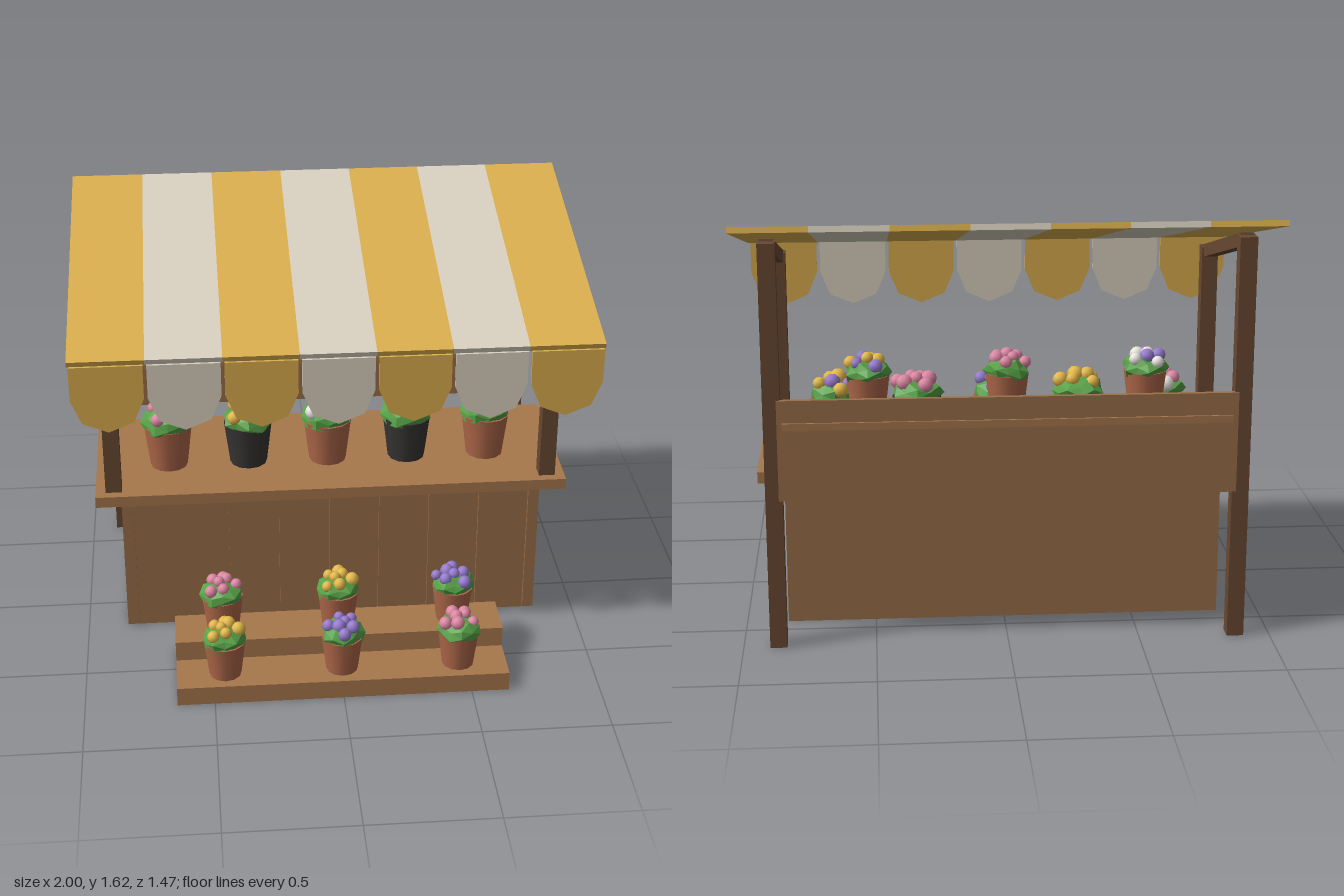
import * as THREE from 'three';

const mat = (color, flat = false) => new THREE.MeshStandardMaterial({ color, flatShading: flat });

export function createModel() {
  const root = new THREE.Group();
  const wood = mat(0xa8784c), panel = mat(0x9a6f48), dark = mat(0x684832);
  const gold = mat(0xdcb04e), cream = mat(0xdad2c1);
  const terracotta = mat(0xb0684a), black = mat(0x383634), leaf = mat(0x56a046, true);
  const bloom = {
    pink: mat(0xdc86a2), purple: mat(0x9579cc), yellow: mat(0xe2b848), white: mat(0xe8e4de),
  };
  let seed = 11;
  const rand = () => (seed = (seed * 16807) % 2147483647) / 2147483647;

  const add = (name, geo, material, parent = root) => {
    const m = new THREE.Mesh(geo, material);
    m.name = name;
    parent.add(m);
    return m;
  };
  // box given by its limits on each axis
  const box = (name, material, x0, x1, y0, y1, z0, z1) => {
    const m = add(name, new THREE.BoxGeometry(x1 - x0, y1 - y0, z1 - z0), material);
    m.position.set((x0 + x1) / 2, (y0 + y1) / 2, (z0 + z1) / 2);
    return m;
  };

  // counter with upright battens
  box('counterBody', panel, -0.84, 0.84, 0, 0.58, -0.42, 0.165);
  box('counterTop', wood, -0.94, 0.94, 0.58, 0.625, -0.455, 0.2);
  for (let i = -4; i <= 4; i++) {
    const x = i * 0.2015;
    box('counterBatten', panel, x - 0.0125, x + 0.0125, 0.015, 0.57, 0.16, 0.18);
  }

  // posts and sloping side rails
  for (const s of [-1, 1]) {
    const x = s * 0.868;
    box('frontPost', dark, x - 0.032, x + 0.032, 0.62, 1.353, 0.1, 0.163);
    box('backPost', dark, x - 0.032, x + 0.032, 0, 1.55, -0.674, -0.611);
    const rail = add('sideRail', new THREE.BoxGeometry(0.05, 0.05, 0.8), dark);
    rail.position.set(x, 1.433, -0.25);
    rail.rotation.x = 0.258;
  }

  // back board and shelf
  box('backBoard', panel, -0.85, 0.85, 0.585, 0.97, -0.682, -0.662);
  box('backShelf', wood, -0.83, 0.83, 0.857, 0.885, -0.69, -0.465);

  // display steps
  box('lowerStep', wood, -0.645, 0.645, 0, 0.077, 0.36, 0.74);
  box('upperStep', wood, -0.645, 0.645, 0.077, 0.16, 0.36, 0.55);

  // striped canopy with a scalloped valance
  const w = 2 / 7, r = 0.136;
  const scallop = new THREE.Shape();
  scallop.moveTo(-r, 0.135);
  for (let i = 0; i <= 4; i++) {
    const a = Math.PI + (i * Math.PI) / 4;
    scallop.lineTo(r * Math.cos(a), r * Math.sin(a));
  }
  scallop.lineTo(r, 0.135);
  const scallopGeo = new THREE.ExtrudeGeometry(scallop, { depth: 0.01, bevelEnabled: false });
  for (let i = 0; i < 7; i++) {
    const x = (i - 3) * w, cloth = i % 2 ? cream : gold;
    const stripe = add('canopyStripe', new THREE.BoxGeometry(w, 0.022, 1.217), cloth);
    stripe.position.set(x, 1.473, -0.14);
    stripe.rotation.x = 0.23;
    add('valanceScallop', scallopGeo, cloth).position.set(x, 1.195, 0.46);
  }

  // potted flowers
  const potGeo = new THREE.CylinderGeometry(0.097, 0.075, 0.18, 12);
  potGeo.translate(0, 0.09, 0);
  const flowerGeo = new THREE.SphereGeometry(0.03, 8, 6);
  function plant(x, y, z, scale, colors, potMat = terracotta) {
    const g = new THREE.Group();
    g.name = 'pottedFlowers';
    g.position.set(x, y, z);
    g.scale.setScalar(scale);
    root.add(g);
    add('pot', potGeo, potMat, g);

    // lumpy foliage: each corner moves in or out by a position-based rule
    const leafGeo = new THREE.IcosahedronGeometry(0.1, 1);
    const p = leafGeo.attributes.position, v = new THREE.Vector3(), phase = rand() * 6;
    for (let i = 0; i < p.count; i++) {
      v.fromBufferAttribute(p, i);
      v.multiplyScalar(1 + 0.11 * Math.sin(v.x * 47 + v.y * 31 + v.z * 59 + phase));
      p.setXYZ(i, v.x, v.y * 0.62, v.z);
    }
    leafGeo.computeVertexNormals();
    add('foliage', leafGeo, leaf, g).position.y = 0.19;

    const n = 7, turn = rand() * 6;
    for (let i = 0; i < n; i++) {
      const a = turn + i * 2.4, d = 0.085 * Math.sqrt((i + 0.2) / n);
      const f = add('flower', flowerGeo, bloom[colors[i % colors.length]], g);
      f.position.set(d * Math.cos(a), 0.25 - d * d * 4 + rand() * 0.01, d * Math.sin(a));
      f.scale.setScalar(0.85 + rand() * 0.3);
    }
  }

  const counterPlants = [['white', 'pink'], ['yellow'], ['purple', 'purple', 'white'], ['pink'], ['yellow', 'purple']];
  counterPlants.forEach((c, i) => plant((i - 2) * 0.323, 0.625, -0.063, 1, c, i % 2 ? black : terracotta));

  const rows = [
    [0.515, 0.885, -0.567, [['white', 'purple'], ['pink'], ['yellow', 'purple']]],
    [0.455, 0.16, 0.453, [['pink'], ['yellow'], ['purple']]],
    [0.455, 0.077, 0.643, [['yellow'], ['purple'], ['pink']]],
  ];
  for (const [dx, y, z, sets] of rows) {
    sets.forEach((c, i) => plant((i - 1) * dx, y, z, 0.83, c));
  }
  return root;
}
